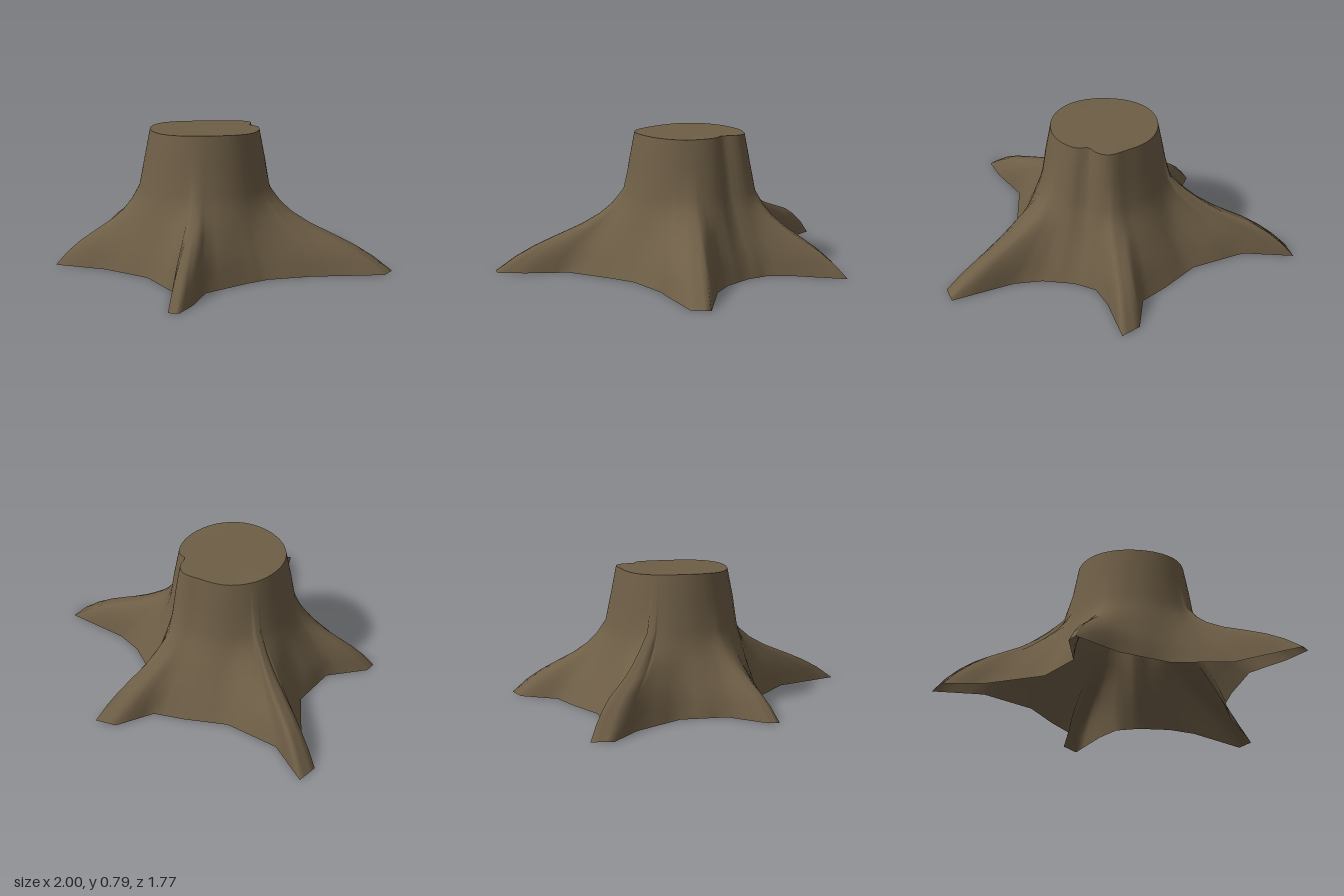
import * as THREE from 'three';

// Ground outline: x, z, kind (0 valley, 1 root shoulder, 2 low root tip, 3 high root tip)
const OUTLINE = [
  [-0.7, -0.04, 1.5], [-1, -0.04, 3], [-0.95, 0.08, 2.5], [-0.7, 0.125, 0.8], [-0.39, 0.28, 0],
  [-0.26, 0.52, 1], [-0.32, 0.77, 2], [-0.29, 0.83, 2], [-0.03, 0.66, 0.8], [0.27, 0.57, 0],
  [0.61, 0.63, 0.8], [0.93, 0.885, 2], [0.97, 0.84, 2], [0.89, 0.7, 1.5], [0.73, 0.5, 0.8], [0.7, 0.2, 0],
  [0.7, 0.05, 0], [0.79, -0.2, 0.8], [0.86, -0.31, 1.3], [1, -0.55, 2], [0.95, -0.65, 2], [0.62, -0.46, 0.8],
  [0.46, -0.42, 0], [0.27, -0.43, 0], [0.14, -0.48, 0.3], [0.06, -0.61, 0.9], [-0.05, -0.89, 2],
  [-0.14, -0.8, 2], [-0.14, -0.56, 0.9], [-0.26, -0.42, 0.3], [-0.41, -0.21, 0],
];

// Height, trunk radius, then how far valley / shoulder / low tip / high tip still spread from the trunk
const LEVELS = [
  [0, 0.43, 1, 1, 1, 1],
  [0.08, 0.42, 0.74, 0.88, 0.84, 0.9],
  [0.14, 0.41, 0.57, 0.75, 0.69, 0.8],
  [0.19, 0.4, 0.44, 0.61, 0.54, 0.69],
  [0.26, 0.393, 0.28, 0.42, 0.32, 0.42],
  [0.32, 0.387, 0.17, 0.25, 0.18, 0.27],
  [0.38, 0.38, 0.08, 0.11, 0.09, 0.16],
  [0.46, 0.367, 0.02, 0.02, 0.02, 0.04],
  [0.62, 0.346, 0, 0, 0, 0],
  [0.785, 0.314, 0, 0, 0, 0],
];
const CX = 0.14, CZ = 0.08, SPLIT = 3;

const bump = (angle, centre, width) => Math.exp(-(((angle - centre) / width) ** 2));

function contours() {
  const base = [];
  OUTLINE.forEach((a, i) => {
    const b = OUTLINE[(i + 1) % OUTLINE.length];
    for (let s = 0; s < SPLIT; s++) base.push(a.map((v, k) => v + (b[k] - v) * s / SPLIT));
  });
  return LEVELS.map(([y, radius, ...spread], row) => base.map(([x, z, kind]) => {
    const angle = Math.atan2(z - CZ, x - CX);
    // Swelling and vertical groove down the back of the trunk
    const r = radius + 0.035 * bump(angle, -1.74, 0.25) - 0.035 * bump(angle, -1.34, 0.13);
    const k = Math.min(Math.floor(kind), 2);
    const w = spread[k] + (spread[k + 1] - spread[k]) * (kind - k);
    const tx = CX + Math.cos(angle) * r, tz = CZ + Math.sin(angle) * r;
    const rag = row === LEVELS.length - 1 ? 0.004 * Math.sin(angle * 3) : 0;
    return new THREE.Vector3(tx + (x - tx) * w, y + rag, tz + (z - tz) * w);
  }));
}

function geometryFrom(points, index) {
  const g = new THREE.BufferGeometry().setFromPoints(points);
  g.setIndex(index);
  g.computeVertexNormals();
  return g;
}

export function createModel() {
  const group = new THREE.Group();
  group.name = 'treeStump';
  const bark = new THREE.MeshStandardMaterial({ color: 0x6e5e46, side: THREE.DoubleSide });
  bark.name = 'brown bark';

  // Trunk flaring into five roots, open underneath
  const rings = contours(), n = rings[0].length, index = [];
  for (let i = 0; i < rings.length - 1; i++) {
    for (let j = 0; j < n; j++) {
      const a = i * n + j, b = i * n + (j + 1) % n;
      index.push(a, b, b + n, a, b + n, a + n);
    }
  }
  const trunk = new THREE.Mesh(geometryFrom(rings.flat(), index), bark);
  trunk.name = 'trunkAndRoots';

  // Flat cut face
  const rim = rings[rings.length - 1], fan = [];
  for (let j = 0; j < n; j++) fan.push(n, j, (j + 1) % n);
  const top = new THREE.Mesh(geometryFrom([...rim, new THREE.Vector3(CX, 0.785, CZ)], fan), bark);
  top.name = 'cutTop';

  group.add(trunk, top);
  return group;
}
